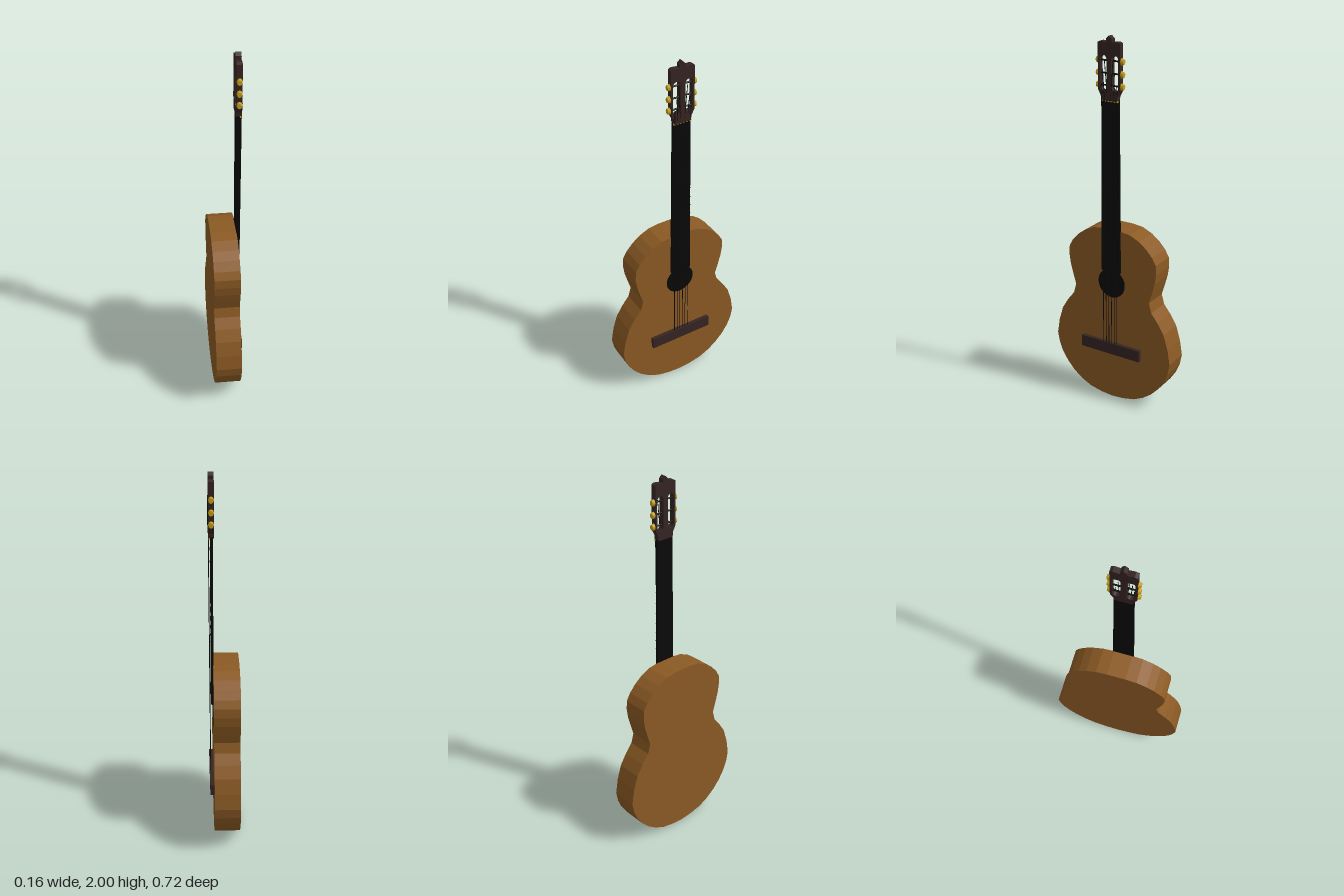
import * as THREE from 'three';

const mat = (color) => new THREE.MeshStandardMaterial({ color });
const wood = mat(0x8b5a24), dark = mat(0x352422), black = mat(0x090909), gold = mat(0xc9a11c);

// Outline mirrored about x = 0 from points on its right half, bottom to top
function mirroredShape(half) {
  const left = half.filter(([x]) => x > 0).reverse().map(([x, y]) => [-x, y]);
  return new THREE.Shape([...half, ...left].map(([x, y]) => new THREE.Vector2(x, y)));
}

// Flat plate between two depths
function plate(name, shape, z0, z1, material) {
  const geo = new THREE.ExtrudeGeometry(shape, { depth: z1 - z0, bevelEnabled: false, curveSegments: 8 });
  const mesh = new THREE.Mesh(geo.translate(0, 0, z0), material);
  mesh.name = name;
  return mesh;
}

// Thin cylinder from a to b
function rod(name, a, b, radius, material, sides = 6) {
  const from = new THREE.Vector3(...a), dir = new THREE.Vector3(...b).sub(from);
  const mesh = new THREE.Mesh(new THREE.CylinderGeometry(radius, radius, dir.length(), sides), material);
  mesh.position.copy(from).addScaledVector(dir, 0.5);
  mesh.quaternion.setFromUnitVectors(new THREE.Vector3(0, 1, 0), dir.normalize());
  mesh.name = name;
  return mesh;
}

function box(name, w, h, d, x, y, z, material) {
  const mesh = new THREE.Mesh(new THREE.BoxGeometry(w, h, d), material);
  mesh.position.set(x, y, z);
  mesh.name = name;
  return mesh;
}

// Rounded-end slot in the headstock
function slot(side) {
  const r = 0.02, cx = side * 0.034, hole = new THREE.Path();
  hole.absarc(cx, 1.885, r, 0, Math.PI, false);
  hole.absarc(cx, 1.75, r, Math.PI, Math.PI * 2, false);
  hole.closePath();
  return hole;
}

export function createModel() {
  // Built facing +z, then turned to face +x
  const guitar = new THREE.Group();
  guitar.name = 'guitar';

  // Body
  guitar.add(plate('body', mirroredShape([
    [0, 0], [0.07, 0.006], [0.14, 0.021], [0.2, 0.05], [0.25, 0.087], [0.295, 0.135],
    [0.33, 0.19], [0.35, 0.24], [0.361, 0.3], [0.347, 0.385], [0.322, 0.465], [0.285, 0.525],
    [0.245, 0.575], [0.23, 0.63], [0.248, 0.69], [0.263, 0.745], [0.271, 0.8], [0.268, 0.85],
    [0.245, 0.89], [0.208, 0.93], [0.165, 0.962], [0.11, 0.987], [0.05, 0.995], [0, 0.995],
  ]), -0.082, 0.055, wood));

  // Sound hole
  const hole = new THREE.Mesh(new THREE.CylinderGeometry(0.082, 0.082, 0.004, 32), black);
  hole.rotation.x = Math.PI / 2;
  hole.position.set(0, 0.69, 0.055);
  hole.name = 'soundHole';
  guitar.add(hole);

  // Bridge
  guitar.add(box('bridge', 0.365, 0.065, 0.023, 0, 0.307, 0.0645, dark));

  // Neck and fretboard
  guitar.add(plate('neck', mirroredShape([[0, 0.76], [0.058, 0.76], [0.049, 1.685], [0, 1.685]]), 0.053, 0.066, black));

  // Frets, spaced by the equal-tempered rule
  const nutY = 1.68, scaleLength = nutY - 0.31;
  for (let i = 1; i <= 18; i++) {
    const y = nutY - scaleLength * (1 - Math.pow(2, -i / 12));
    if (y < 0.77) break;
    guitar.add(box('fret', 0.098 + (nutY - y) * 0.0185, 0.004, 0.002, 0, y, 0.0665, black));
  }

  // Headstock with two slots and a crest
  const headShape = mirroredShape([
    [0, 1.68], [0.046, 1.68], [0.048, 1.705], [0.064, 1.735], [0.064, 1.965],
    [0.05, 1.972], [0.016, 1.968], [0.016, 1.985], [0, 2],
  ]);
  headShape.holes.push(slot(1), slot(-1));
  guitar.add(plate('headstock', headShape, 0.047, 0.076, dark));

  // Tuners: roller across the slot and a knob outside
  const tunerY = [1.755, 1.815, 1.878];
  for (const side of [-1, 1]) {
    for (const y of tunerY) {
      guitar.add(rod('tunerRoller', [side * 0.01, y, 0.0615], [side * 0.07, y, 0.0615], 0.0045, black, 8));
      const knob = new THREE.Mesh(new THREE.CylinderGeometry(0.014, 0.019, 0.014, 8), gold);
      knob.rotation.z = -side * Math.PI / 2;
      knob.scale.set(1, 1, 0.78);
      knob.position.set(side * 0.072, y, 0.0615);
      knob.name = 'tunerKnob';
      guitar.add(knob);
    }
  }

  // Strings from bridge over the nut to the rollers, with gold nut beads
  for (let i = 0; i < 6; i++) {
    const t = i / 2.5 - 1, side = Math.sign(t), radius = 0.0022 - i * 0.0002;
    const nut = [t * 0.044, nutY, 0.074];
    const row = i < 3 ? i : 5 - i;
    guitar.add(rod('string', [t * 0.042, 0.335, 0.07], nut, radius, black));
    guitar.add(rod('stringEnd', nut, [side * (0.044 - row * 0.01), tunerY[row], 0.078], radius, black));
    guitar.add(box('nutBead', 0.009, 0.009, 0.012, nut[0], nutY, 0.069, gold));
  }

  guitar.rotation.y = Math.PI / 2;
  const model = new THREE.Group();
  model.add(guitar);
  return model;
}
